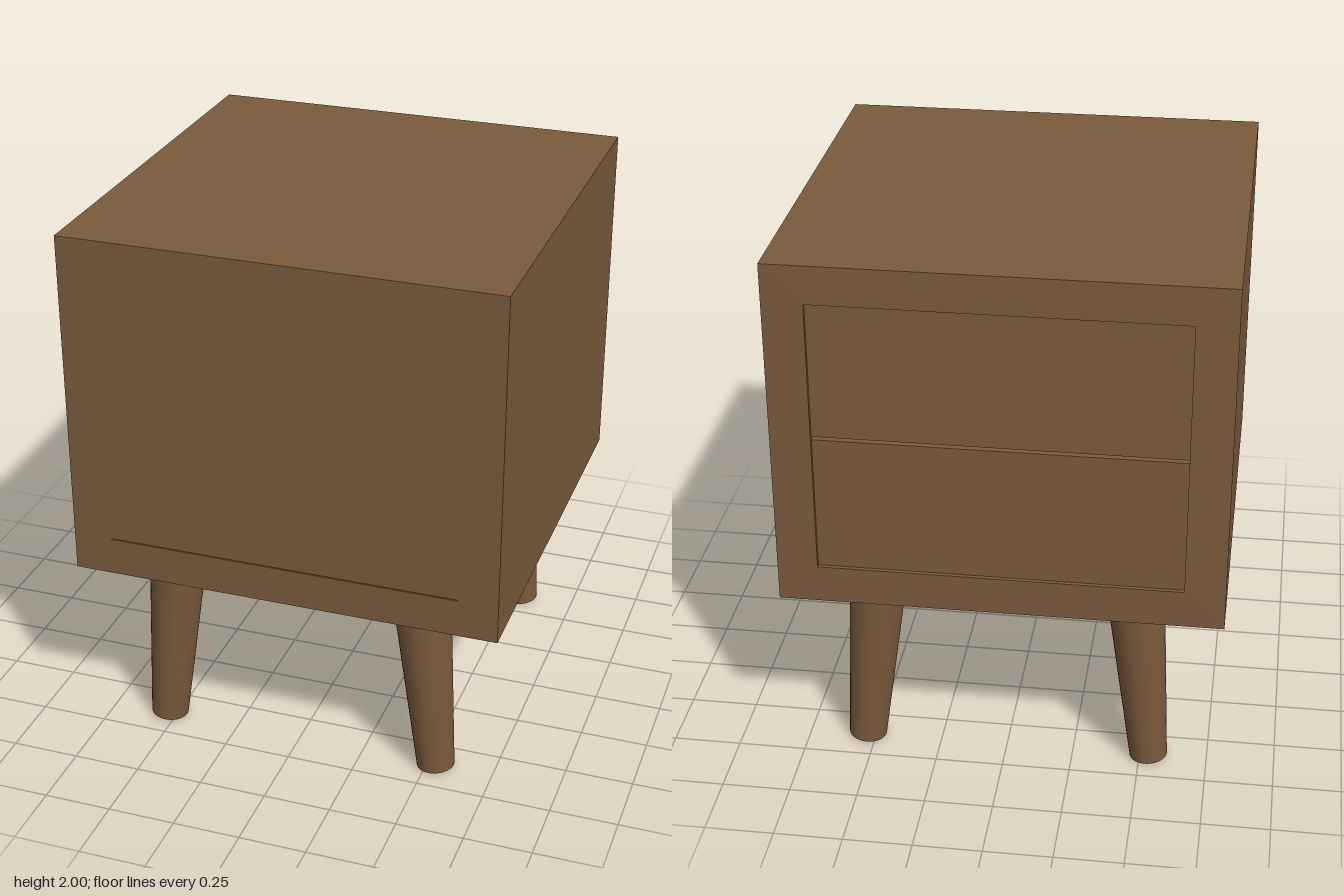
import * as THREE from 'three';

const HALF = 0.795;        // half width and half depth of the case
const BOTTOM = 0.7, TOP = 2;
const INNER = 0.65;        // half width of the opening
const OPEN_LOW = 0.84, OPEN_HIGH = 1.86;

const wood = new THREE.MeshStandardMaterial({ color: 0x7a5a3c });

function add(parent, name, geometry) {
  const mesh = new THREE.Mesh(geometry, wood);
  mesh.name = name;
  parent.add(mesh);
  return mesh;
}

// Box given by its minimum and maximum corners
function box(x0, x1, y0, y1, z0, z1) {
  return new THREE.BoxGeometry(x1 - x0, y1 - y0, z1 - z0)
    .translate((x0 + x1) / 2, (y0 + y1) / 2, (z0 + z1) / 2);
}

function rectangle(path, x, y0, y1) {
  path.moveTo(-x, y0);
  path.lineTo(x, y0);
  path.lineTo(x, y1);
  path.lineTo(-x, y1);
  path.closePath();
  return path;
}

export function createModel() {
  const model = new THREE.Group();
  model.name = 'nightstand';

  // Case: a thick square tube running front to back
  const outline = rectangle(new THREE.Shape(), HALF, BOTTOM, TOP);
  outline.holes.push(rectangle(new THREE.Path(), INNER, OPEN_LOW, OPEN_HIGH));
  const caseGeometry = new THREE.ExtrudeGeometry(outline, { depth: 2 * HALF, bevelEnabled: false });
  add(model, 'case', caseGeometry.translate(0, 0, -HALF));

  // Plain panel closing the +z side, with a hairline gap along its lower edge
  add(model, 'closingPanel', box(-INNER, INNER, OPEN_LOW + 0.004, OPEN_HIGH, HALF - 0.04, HALF));

  // Two drawers, set slightly into the opening on the -z side
  const middle = (OPEN_LOW + OPEN_HIGH) / 2, gap = 0.006;
  const drawerFace = -HALF + 0.015;
  add(model, 'lowerDrawer', box(-INNER, INNER, OPEN_LOW, middle - gap, drawerFace, HALF - 0.06));
  add(model, 'upperDrawer', box(-INNER, INNER, middle + gap, OPEN_HIGH, drawerFace, HALF - 0.06));

  // Four tapered legs, leaning outwards to the sides
  const tilt = 0.09, length = 0.7;
  const legGeometry = new THREE.CylinderGeometry(0.105, 0.07, length, 32)
    .translate(0, length / 2, 0);
  for (const sx of [-1, 1]) {
    for (const sz of [-1, 1]) {
      const name = (sz > 0 ? 'front' : 'back') + (sx > 0 ? 'Left' : 'Right') + 'Leg';
      const leg = add(model, name, legGeometry);
      leg.position.set(sx * 0.533, 0.0065, sz * 0.615);
      leg.rotation.z = sx * tilt;
    }
  }
  return model;
}
